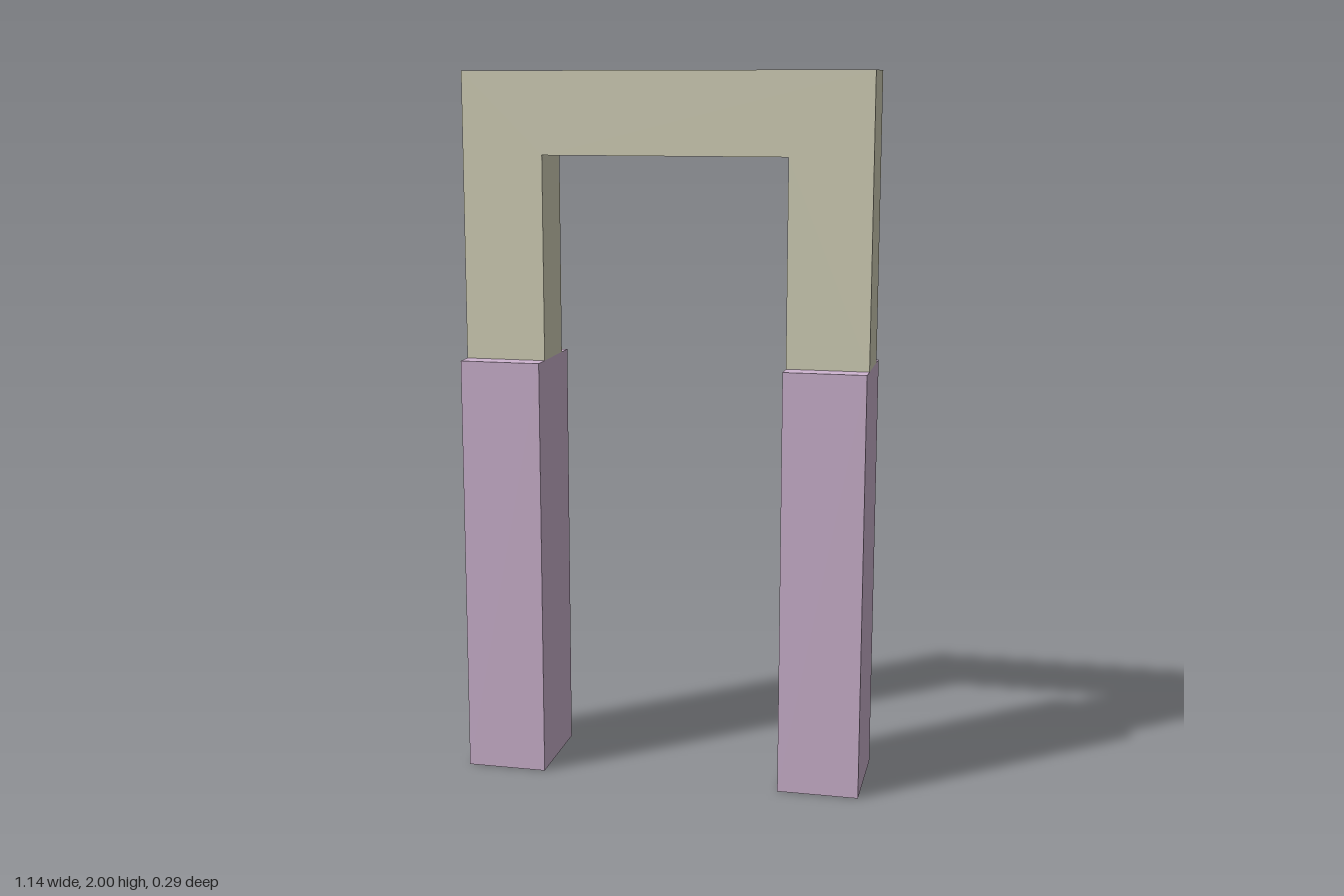
import * as THREE from 'three';

const OUTER = 0.5714, INNER = 0.3429;      // half widths of the gate
const LEG_TOP = 1.2, BEAM_BOTTOM = 1.7714, TOP = 2;
const ARCH_DEPTH = 0.1714, LEG_DEPTH = 0.2857;

export function createModel() {
  const group = new THREE.Group();
  const archMaterial = new THREE.MeshStandardMaterial({ color: 0xd6d4bb });
  const legMaterial = new THREE.MeshStandardMaterial({ color: 0xcfb5d1 });

  // Upper arch: two posts and a crossbeam in one U-shaped piece
  const outline = new THREE.Shape([
    [-OUTER, LEG_TOP], [-INNER, LEG_TOP], [-INNER, BEAM_BOTTOM], [INNER, BEAM_BOTTOM],
    [INNER, LEG_TOP], [OUTER, LEG_TOP], [OUTER, TOP], [-OUTER, TOP],
  ].map(([x, y]) => new THREE.Vector2(x, y)));
  const archGeometry = new THREE.ExtrudeGeometry(outline, { depth: ARCH_DEPTH, bevelEnabled: false });
  archGeometry.translate(0, 0, -ARCH_DEPTH / 2);
  const arch = new THREE.Mesh(archGeometry, archMaterial);
  arch.name = 'arch';
  group.add(arch);

  // Thicker lower legs under each post
  const legGeometry = new THREE.BoxGeometry(OUTER - INNER, LEG_TOP, LEG_DEPTH);
  for (const [name, side] of [['leftLeg', 1], ['rightLeg', -1]]) {
    const leg = new THREE.Mesh(legGeometry, legMaterial);
    leg.name = name;
    leg.position.set(side * (OUTER + INNER) / 2, LEG_TOP / 2, 0);
    group.add(leg);
  }
  return group;
}
